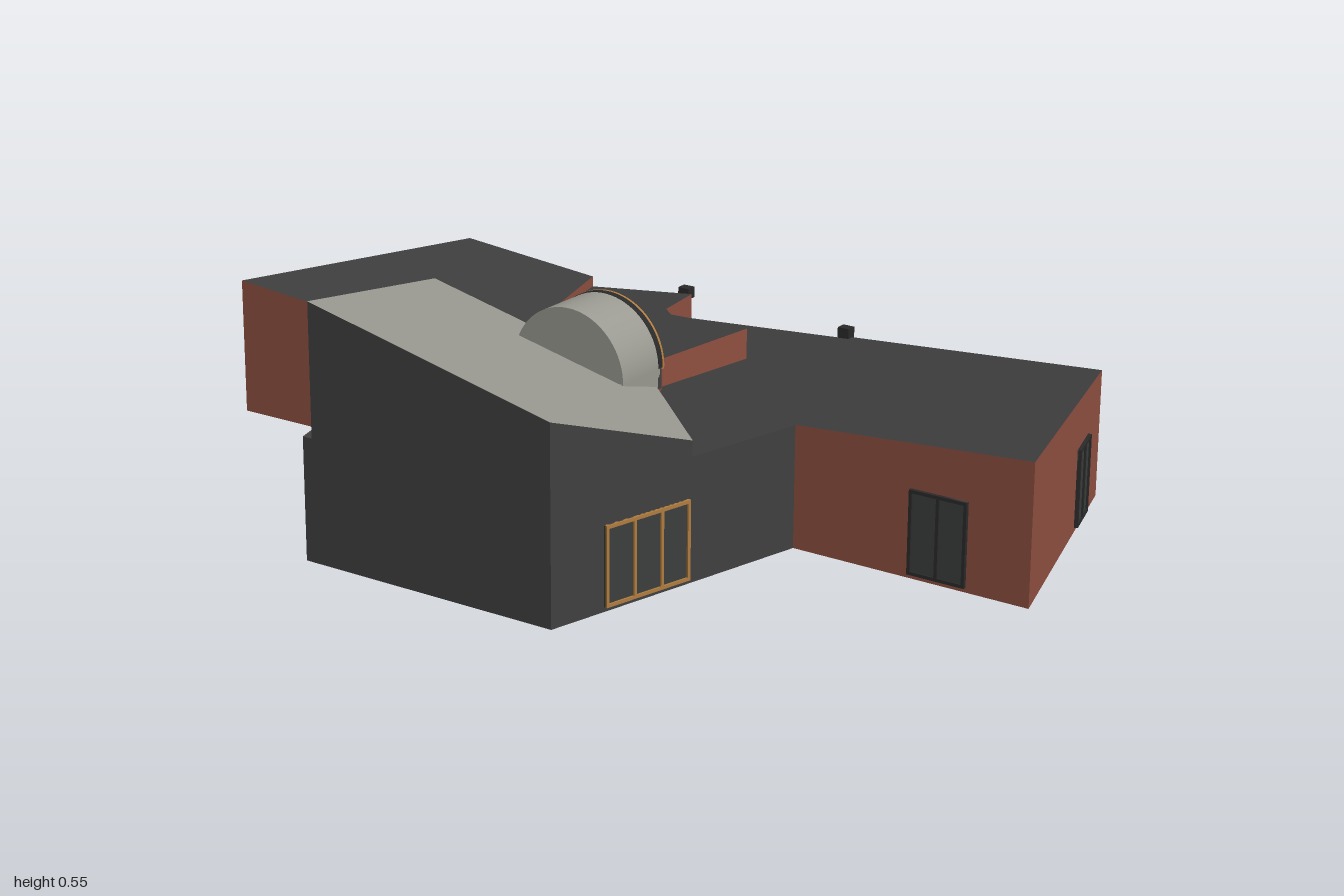
import * as THREE from 'three';

const mat = (name, color, side = THREE.FrontSide) => {
  const m = new THREE.MeshStandardMaterial({ color, side });
  m.name = name;
  return m;
};

export function createModel() {
  const D = THREE.DoubleSide;
  const brick = mat('brick', 0x8f5040, D);
  const cladding = mat('dark cladding', 0x404040, D);
  const roofing = mat('dark roofing', 0x3e3e3e, D);
  const metal = mat('pale metal roof', 0x9a9a92, D);
  const glass = mat('glass', 0x3c3e3e, D);
  const frame = mat('dark frame', 0x2a2a2a);
  const timber = mat('amber timber', 0xb07c3e, D);

  const model = new THREE.Group();
  model.name = 'building';

  const add = (parent, name, geo, material, x = 0, y = 0, z = 0) => {
    const m = new THREE.Mesh(geo, material);
    m.name = name;
    m.position.set(x, y, z);
    parent.add(m);
    return m;
  };
  const box = (parent, name, material, x0, x1, y0, y1, depth, z = 0) =>
    add(parent, name, new THREE.BoxGeometry(x1 - x0, y1 - y0, depth), material, (x0 + x1) / 2, (y0 + y1) / 2, z);

  // Wall from a to b (x, z), left to right as seen from outside; local z points outward
  const wall = (name, material, a, b, tops, bottoms = [0, 0]) => {
    const g = new THREE.Group();
    g.name = name;
    const dx = b[0] - a[0], dz = b[1] - a[1], L = Math.hypot(dx, dz);
    g.position.set(a[0], 0, a[1]);
    g.rotation.y = Math.atan2(-dz, dx);
    const s = new THREE.Shape([[0, bottoms[0]], [L, bottoms[1]], [L, tops[1]], [0, tops[0]]].map(p => new THREE.Vector2(...p)));
    add(g, name + 'Face', new THREE.ShapeGeometry(s), material);
    g.userData.length = L;
    model.add(g);
    return g;
  };

  // Window that shows on both faces of its wall
  const addWindow = (g, u0, u1, y0, y1, panes, trim = frame, sill = false) => {
    const w = new THREE.Group(), t = 0.007, d = 0.016;
    w.name = 'window';
    g.add(w);
    box(w, 'pane', glass, u0, u1, y0, y1, 0.008);
    box(w, 'bottomRail', trim, u0, u1, y0, y0 + t, d);
    box(w, 'topRail', trim, u0, u1, y1 - t, y1, d);
    for (let i = 0; i <= panes; i++) {
      const u = u0 + (u1 - u0 - t) * i / panes;
      box(w, 'upright', trim, u, u + t, y0, y1, d);
    }
    if (sill) box(w, 'sill', frame, u0 - 0.008, u1 + 0.008, y0 - 0.01, y0, 0.026, 0.004);
  };

  // Sloping roof: flat outline (x, z) lifted onto a plane
  const roof = (name, material, outline, height) => {
    const geo = new THREE.ShapeGeometry(new THREE.Shape(outline.map(([x, z]) => new THREE.Vector2(x, -z))));
    geo.rotateX(-Math.PI / 2);
    const p = geo.attributes.position;
    for (let i = 0; i < p.count; i++) p.setY(i, height(p.getX(i), p.getZ(i)));
    geo.computeVertexNormals();
    return add(model, name, geo, material);
  };

  const westH = (x, z) => 0.31 - 0.085 * (x + 1) + 0.015 * (z - 0.02);
  const midH = x => 0.29 + 0.12 * x;
  const eastH = (x, z) => 0.303 + 0.07 * (x - 1) + 0.017 * z;
  const hallH = (x, z) => 0.42 - 0.22 * (x - 0.31) + 0.294 * (z - 0.62);
  const on = (h, ...pts) => pts.map(p => h(p[0], p[1]));

  // Roofs of the long brick wing
  const step = [[0.12, 0], [0.06, -0.11], [0.1, -0.37], [-0.14, -0.43], [-0.18, -0.47], [-0.2, -0.6]];
  const W0 = [-1, 0.02], W1 = [-0.84, -0.605], W2 = [-0.48, -0.605], W3 = [-0.31, 0], W4 = [-0.475, 0.01];
  const E1 = [0.2, -0.605], E2 = [0.2, -0.62], E3 = [0.82, -0.625], E4 = [1, 0], E5 = [0.46, 0];
  const C = [0.395, 0.27], B = [0.31, 0.62], A = [-0.275, 0.625], F = [-0.46, 0], G = [0.12, 0];
  roof('westRoof', roofing, [W0, W4, W3, W2, W1], westH);
  roof('middleRoof', roofing, [W3, ...step, W2], midH);
  roof('eastRoof', roofing, [...step, E1, E2, E3, E4, E5, C], eastH);

  // Brick upstands between roof levels
  for (let i = 0; i < step.length - 1; i++) {
    const a = step[i], b = step[i + 1];
    wall('roofStep', brick, a, b, on(midH, a, b), on(eastH, a, b));
  }
  wall('valleyStep', brick, W3, W2, on(westH, W3, W2), on(midH, W3, W2));
  wall('hallUpstand', brick, C, G, on(hallH, C, G), on(eastH, C, G));

  // Brick wing walls
  wall('westFrontWall', brick, W0, W4, on(westH, W0, W4));
  const eastFront = wall('eastFrontWall', brick, E5, E4, on(eastH, E5, E4));
  addWindow(eastFront, 0.27, 0.4, 0.01, 0.19, 2);
  const eastEnd = wall('eastEndWall', brick, E4, E3, on(eastH, E4, E3));
  addWindow(eastEnd, 0.425, 0.53, 0.01, 0.18, 2);
  const westEnd = wall('westEndWall', brick, W1, W0, on(westH, W1, W0));
  const wl = westEnd.userData.length;
  for (const f of [0.085, 0.235, 0.385]) addWindow(westEnd, f * wl, (f + 0.1) * wl, 0.055, 0.195, 1, frame, true);
  addWindow(westEnd, 0.54 * wl, 0.88 * wl, 0.015, 0.2, 3);

  const P = step[5];
  const backEast = wall('backEastWall', brick, E3, E2, on(eastH, E3, E2));
  wall('backReturn', brick, E2, E1, on(eastH, E2, E1));
  const backMid = wall('backMiddleWall', brick, E1, P, on(eastH, E1, P));
  wall('backLinkWall', brick, P, W2, on(midH, P, W2));
  const backWest = wall('backWestWall', brick, W2, W1, on(westH, W2, W1));
  addWindow(backEast, 0.19, 0.29, 0.045, 0.19, 2, frame, true);
  addWindow(backMid, 0.045, 0.155, 0.05, 0.17, 2, frame, true);
  addWindow(backMid, 0.17, 0.265, 0.02, 0.18, 3);
  addWindow(backMid, 0.29, 0.395, 0.045, 0.165, 2, frame, true);
  addWindow(backWest, 0.105, 0.215, 0.045, 0.185, 2, frame, true);

  // Round windows and downpipes on the back
  for (const [x, z] of [[0.364, -0.622], [-0.4, -0.603]]) {
    const g = new THREE.Group();
    g.name = 'roundWindow';
    g.position.set(x, 0.127, z);
    model.add(g);
    add(g, 'roundPane', new THREE.CylinderGeometry(0.05, 0.05, 0.008, 32).rotateX(Math.PI / 2), glass);
    add(g, 'roundFrame', new THREE.TorusGeometry(0.05, 0.006, 6, 32), frame);
    box(g, 'crossBar', frame, -0.05, 0.05, -0.003, 0.003, 0.014);
    box(g, 'uprightBar', frame, -0.003, 0.003, -0.05, 0.05, 0.014);
  }
  for (const [x, top] of [[0.2, 0.235], [-0.225, 0.25]]) {
    box(model, 'downpipe', brick, x - 0.006, x + 0.006, 0, top, 0.012, -0.615);
    box(model, 'rainHopper', frame, x - 0.014, x + 0.014, top, top + 0.025, 0.024, -0.615);
  }

  // Dark hall
  roof('hallRoof', metal, [F, A, B, C, G], hallH);
  const L0 = [-0.475, 0], L1 = [-0.298, 0.625], ledge = 0.265;
  const lower = wall('hallLowerWestWall', cladding, L0, L1, [ledge, ledge]);
  const upper = wall('hallUpperWestWall', cladding, F, A, on(hallH, F, A), [ledge, ledge]);
  roof('hallLedge', cladding, [L0, L1, A, F], () => ledge);
  wall('hallFrontCorner', cladding, L1, A, [ledge, ledge]);
  wall('hallFrontWall', cladding, A, B, on(hallH, A, B));
  const hallEast = wall('hallEastWall', cladding, B, C, on(hallH, B, C));
  wall('hallEastLowWall', cladding, C, E5, on(eastH, C, E5));
  wall('hallBackGable', cladding, [0.05, 0], F, on(hallH, [0.05, 0], F), [0.295, 0.25]);
  addWindow(hallEast, 0.133, 0.35, 0.01, 0.18, 3, timber);
  addWindow(lower, 0.175, 0.51, 0.01, 0.19, 4, timber);
  addWindow(lower, 0.06, 0.15, 0.01, 0.19, 1, timber);
  box(lower, 'timberDoorLining', timber, 0.06, 0.15, 0.01, 0.19, 0.004, -0.01);
  addWindow(upper, 0.32, 0.45, 0.32, 0.36, 4, timber);
  box(upper, 'grilleBar', timber, 0.32, 0.45, 0.337, 0.343, 0.016);

  // Barrel dormer with a fan window at the back
  const R = 0.138, dormer = new THREE.Group();
  dormer.name = 'dormer';
  dormer.position.set(-0.0125, 0.3175, 0);
  model.add(dormer);
  add(dormer, 'dormerVault', new THREE.CylinderGeometry(R, R, 0.13, 40, 1, true, -Math.PI / 2, Math.PI).rotateX(-Math.PI / 2), metal, 0, 0, 0.06);
  add(dormer, 'dormerEnd', new THREE.CircleGeometry(R, 40, 0, Math.PI), metal, 0, 0, 0.125);
  box(dormer, 'dormerCheek', metal, R - 0.004, R, -0.04, 0, 0.13, 0.06);
  box(dormer, 'fanBase', cladding, -R, R, -0.045, 0, 0.014, -0.005);
  add(dormer, 'fanGlass', new THREE.CircleGeometry(R, 40, 0, Math.PI), glass, 0, 0, -0.01);
  const arch = (name, outer, inner, depth, material, z) => {
    const s = new THREE.Shape();
    s.absarc(0, 0, outer, 0, Math.PI, false);
    s.absarc(0, 0, inner, Math.PI, 0, true);
    add(dormer, name, new THREE.ExtrudeGeometry(s, { depth, bevelEnabled: false, curveSegments: 32 }), material, 0, 0, z);
  };
  arch('fanSurround', R + 0.001, R - 0.012, 0.014, frame, -0.014);
  arch('fanRim', R + 0.001, R - 0.016, 0.006, timber, -0.02);
  arch('fanMiddleArch', 0.092, 0.086, 0.006, timber, -0.018);
  arch('fanHub', 0.04, 0.026, 0.006, timber, -0.018);
  box(dormer, 'fanSill', timber, -R, R, -0.004, 0.006, 0.01, -0.016);
  for (let i = 1; i < 10; i++) {
    const a = Math.PI * i / 10, r = 0.08;
    const spoke = add(dormer, 'fanSpoke', new THREE.BoxGeometry(0.1, 0.005, 0.006), timber, r * Math.cos(a), r * Math.sin(a), -0.015);
    spoke.rotation.z = a;
  }
  return model;
}
